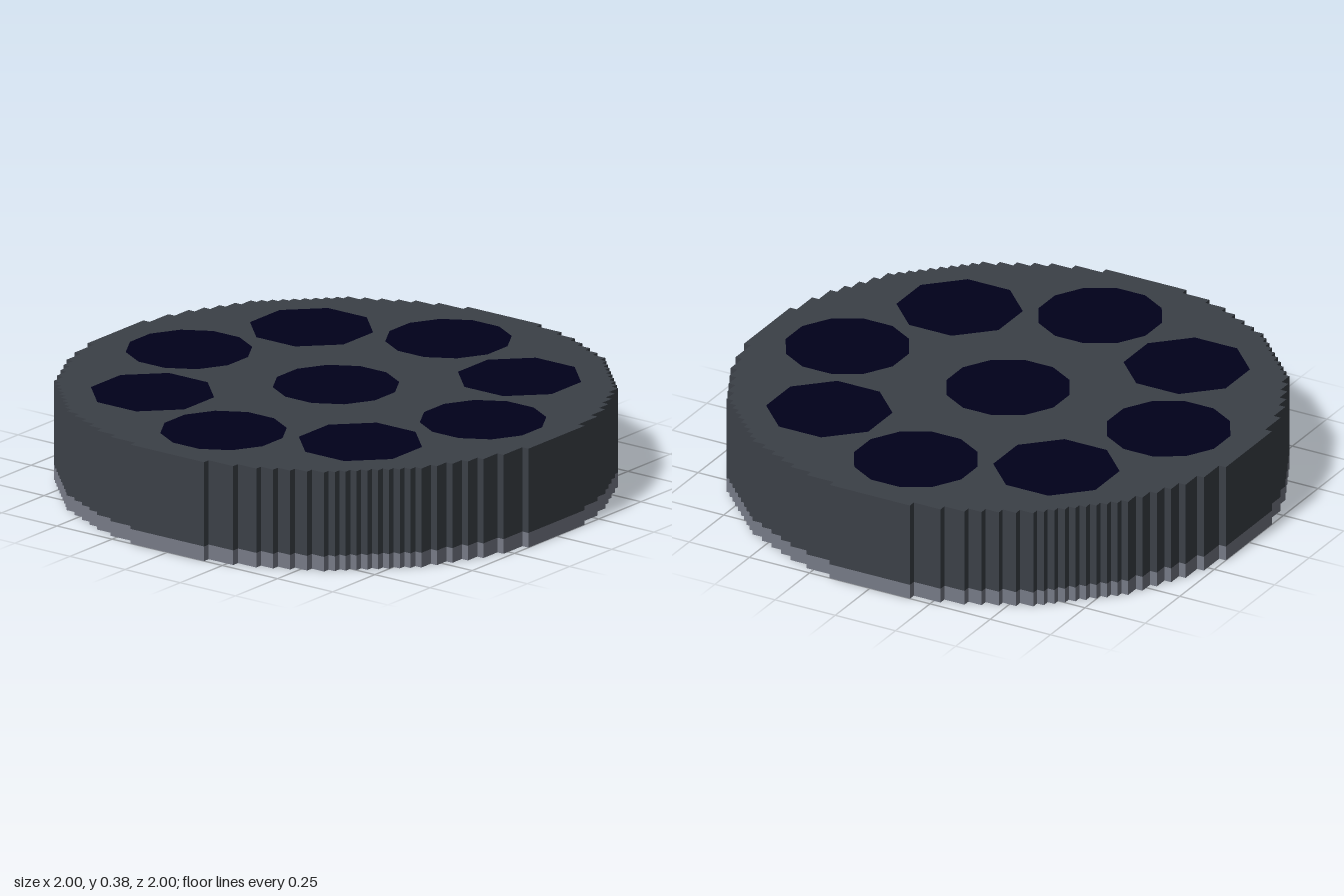
import * as THREE from 'three';

const U = 1 / 36;          // size of one block
const HOLE_R = 8;          // hole radius in blocks
const RING = 24;           // distance of the outer holes from the centre

// Stair-stepped outline of a disc sampled on the block grid
function blockDisc(cx, cy, r) {
  const right = [], left = [];
  for (let j = Math.floor(cy - r) - 1; j <= cy + r + 1; j++) {
    const d = r * r - (j + 0.5 - cy) ** 2;
    if (d < 0) continue;
    const w = Math.sqrt(d);
    const lo = Math.ceil(cx - w - 0.5), hi = Math.floor(cx + w - 0.5) + 1;
    if (hi <= lo) continue;
    right.push([hi, j], [hi, j + 1]);
    left.unshift([lo, j + 1], [lo, j]);
  }
  const pts = [...right, ...left];
  return pts
    .filter((p, i) => {
      const q = pts[(i + 1) % pts.length];
      return p[0] !== q[0] || p[1] !== q[1];
    })
    .map(([x, y]) => new THREE.Vector2(x * U, y * U));
}

// Regular polygon with flat sides facing along the axes
function polygon(cx, cy, sides, apothem) {
  const r = apothem / Math.cos(Math.PI / sides);
  return Array.from({ length: sides }, (_, i) => {
    const a = ((i + 0.5) * 2 * Math.PI) / sides;
    return new THREE.Vector2(cx * U + r * Math.cos(a), cy * U + r * Math.sin(a));
  });
}

// Upright slab between two heights
function slab(outline, holes, y0, y1) {
  const shape = new THREE.Shape(outline);
  shape.holes = holes.map((h) => new THREE.Path(h));
  const geo = new THREE.ExtrudeGeometry(shape, { depth: y1 - y0, bevelEnabled: false });
  geo.rotateX(-Math.PI / 2);
  geo.translate(0, y0, 0);
  return geo;
}

export function createModel() {
  const material = (name, color) => {
    const mat = new THREE.MeshStandardMaterial({ color });
    mat.name = name;
    return mat;
  };
  const darkGrey = material('darkGrey', 0x3b4047);
  const lightGrey = material('lightGrey', 0x767a86);
  const midGrey = material('midGrey', 0x5e6469);
  const navy = material('navy', 0x00001a);

  const group = new THREE.Group();
  const add = (name, geo, mat) => {
    const mesh = new THREE.Mesh(geo, mat);
    mesh.name = name;
    group.add(mesh);
  };

  // One central hole and a ring of eight
  const centres = [[0, 0]];
  for (let i = 0; i < 8; i++) {
    const a = (i * Math.PI) / 4;
    centres.push([RING * Math.cos(a), RING * Math.sin(a)]);
  }
  const rim = blockDisc(0, 0, 36);
  const holes = centres.map(([x, y]) => blockDisc(x, y, HOLE_R));
  // Diagonal windows are octagons, the others have twelve sides
  const windows = centres.map(([x, y], i) =>
    i > 0 && i % 2 === 0 ? polygon(x, y, 8, 0.212) : polygon(x, y, 12, 0.222));

  const bandTop = 2 * U, top = 0.375, skin = top - 0.006;

  // Pale band around the base, with its underside
  add('baseBand', slab(rim, holes, 0, bandTop), [midGrey, lightGrey]);
  // Main drum and its top skin
  add('drum', slab(rim, holes, bandTop, skin), darkGrey);
  add('topSkin', slab(rim, windows, skin, top), darkGrey);
  // Dark plates closing the holes at the top
  windows.forEach((w, i) => add(i ? 'ringPlate' + i : 'centrePlate', slab(w, [], skin, top), navy));

  return group;
}
